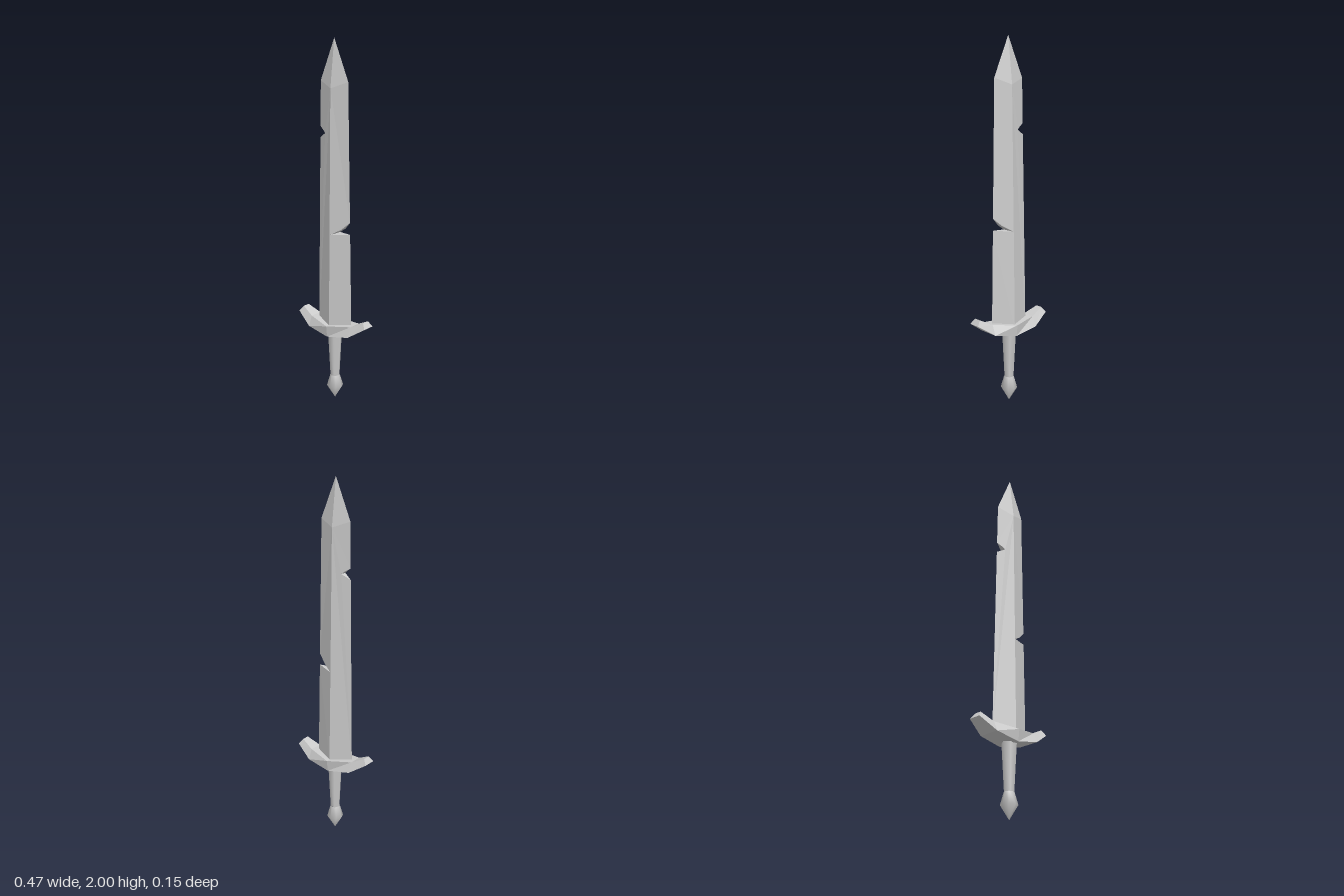
import * as THREE from 'three';

const material = () => new THREE.MeshStandardMaterial({ color: 0xcccccc });

// Collects flat triangles and quads, skipping collapsed ones.
class Faces {
  constructor() { this.points = []; }
  tri(a, b, c) {
    if (new THREE.Triangle(a, b, c).getArea() > 1e-7) this.points.push(a, b, c);
  }
  quad(a, b, c, d) { this.tri(a, b, c); this.tri(a, c, d); }
  mesh(name) {
    const geometry = new THREE.BufferGeometry().setFromPoints(this.points);
    geometry.computeVertexNormals();
    const mat = material();
    mat.flatShading = true;
    const mesh = new THREE.Mesh(geometry, mat);
    mesh.name = name;
    return mesh;
  }
}

const lerp = THREE.MathUtils.lerp;
const BASE = 0.43, SPINE_TOP = 1.745, EDGE_TOP = 1.78, TIP = 2;
const halfWidth = (y) => lerp(0.117, 0.093, (y - BASE) / (EDGE_TOP - BASE));
const halfDepth = (y) => y >= TIP ? 0 : lerp(0.052, 0.032, (y - BASE) / (SPINE_TOP - BASE));

// Diamond-section blade; each half has its own notch, as [distance from spine or null for the edge, y]
function createBlade() {
  const faces = new Faces();
  const notches = {
    1: [[null, 0.975], [0.003, 0.965], [0.06, 0.998], [null, 1.04]],
    '-1': [[null, 1.48], [0.05, 1.508], [0.068, 1.522], [null, 1.54]],
  };
  for (const side of [1, -1]) {
    const notch = notches[side];
    const body = [[0, BASE], [null, BASE], ...notch, [null, EDGE_TOP], [0, SPINE_TOP]];
    const tip = [[0, SPINE_TOP], [null, EDGE_TOP], [0, TIP]];
    const lift = ([x, y], face) => {
      const w = halfWidth(y), d = x ?? w;
      const lean = 0.004 * (y - BASE);
      return new THREE.Vector3(side * d, y, lean + face * halfDepth(y) * (1 - d / w));
    };
    const ordered = (list) => side > 0 ? list : [...list].reverse();

    // Front and back faces
    for (const outline of [ordered(body), ordered(tip)]) {
      const flat = outline.map(([x, y]) => new THREE.Vector2(side * (x ?? halfWidth(y)), y));
      for (const [a, b, c] of THREE.ShapeUtils.triangulateShape(flat, [])) {
        faces.tri(lift(outline[a], 1), lift(outline[b], 1), lift(outline[c], 1));
        faces.tri(lift(outline[c], -1), lift(outline[b], -1), lift(outline[a], -1));
      }
    }
    // Walls inside the notch
    const cut = ordered(notch);
    for (let i = 0; i < cut.length - 1; i++) {
      const [a, b] = [cut[i], cut[i + 1]];
      faces.quad(lift(a, 1), lift(a, -1), lift(b, -1), lift(b, 1));
    }
  }
  return faces.mesh('blade');
}

// Upswept guard lofted through trapezoid sections
function createGuard() {
  const faces = new Faces();
  // [top x, top y, top half depth, bottom x, bottom y, bottom half depth]
  const half = [
    [0, 0.45, 0.076, 0, 0.387, 0.068],
    [0.14, 0.468, 0.037, 0.14, 0.414, 0.062],
    [0.215, 0.505, 0.021, 0.236, 0.476, 0.036],
  ];
  const mirrored = half.slice(1).reverse().map(([a, b, c, d, e, f]) => [-a, b, c, -d, e, f]);
  const rings = [...mirrored, ...half].map(([tx, ty, tz, bx, by, bz]) => [
    new THREE.Vector3(tx, ty, tz), new THREE.Vector3(tx, ty, -tz),
    new THREE.Vector3(bx, by, -bz), new THREE.Vector3(bx, by, bz),
  ]);
  for (let i = 0; i < rings.length - 1; i++) {
    const [p, q] = [rings[i], rings[i + 1]];
    for (let j = 0; j < 4; j++) {
      const k = (j + 1) % 4;
      faces.quad(p[j], q[j], q[k], p[k]);
    }
  }
  const [first, last] = [rings[0], rings[rings.length - 1]];
  faces.quad(first[0], first[1], first[2], first[3]);
  faces.quad(last[3], last[2], last[1], last[0]);
  return faces.mesh('guard');
}

// Smooth turned part with few sides, profile listed from bottom to top
function createTurned(name, profile, sides) {
  const points = profile.map(([r, y]) => new THREE.Vector2(r, y));
  const mesh = new THREE.Mesh(new THREE.LatheGeometry(points, sides, Math.PI / 2), material());
  mesh.name = name;
  return mesh;
}

export function createModel() {
  const sword = new THREE.Group();
  sword.name = 'sword';
  sword.add(
    createBlade(),
    createGuard(),
    createTurned('grip', [[0.027, 0.138], [0.042, 0.41]], 6),
    createTurned('pommel', [[0, 0], [0.046, 0.075], [0.027, 0.14]], 8),
  );
  return sword;
}
